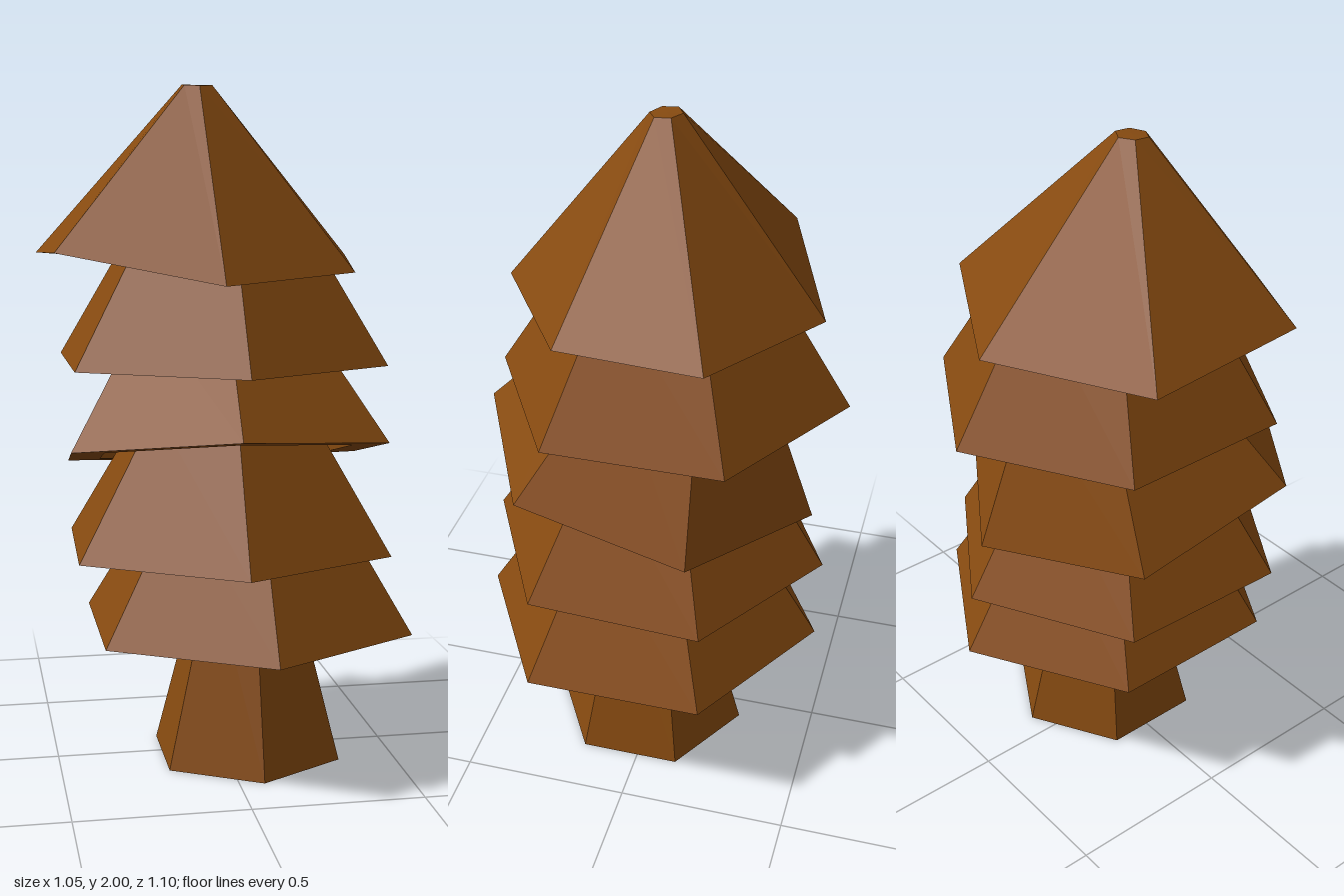
import * as THREE from 'three';

const SIDES = 6;
const bark = new THREE.MeshStandardMaterial({ color: 0x864a10, flatShading: true });

// Six-sided ring of points, first corner towards +z
const hexRing = (r, y, cx = 0, cz = 0) => Array.from({ length: SIDES }, (_, i) => {
  const a = (i / SIDES) * Math.PI * 2;
  return new THREE.Vector3(cx + r * Math.sin(a), y, cz + r * Math.cos(a));
});

// Closed solid skinned over rings, ordered from the top, down the outside, then up the inside
function skin(name, rings) {
  const pos = [];
  const tri = (a, b, c) => {
    if (a.distanceTo(b) < 1e-6 || b.distanceTo(c) < 1e-6 || a.distanceTo(c) < 1e-6) return;
    for (const p of [a, b, c]) pos.push(p.x, p.y, p.z);
  };
  for (let k = 0; k < rings.length - 1; k++) {
    for (let i = 0; i < SIDES; i++) {
      const j = (i + 1) % SIDES, up = rings[k], low = rings[k + 1];
      tri(up[i], low[i], low[j]);
      tri(up[i], low[j], up[j]);
    }
  }
  const geo = new THREE.BufferGeometry();
  geo.setAttribute('position', new THREE.Float32BufferAttribute(pos, 3));
  geo.computeVertexNormals();
  const mesh = new THREE.Mesh(geo, bark);
  mesh.name = name;
  return mesh;
}

// Flared tier with a flat rim and a recess underneath
const profile = [[0, 0.42], [0.255, 0.42], [0.52, 0], [0.41, 0], [0.41, 0.09], [0, 0.09]];
function tier(name, [x, y, z], tilt = 0, yaw = 0, roll = 0) {
  const mesh = skin(name, profile.map(([r, h]) => hexRing(r, h)));
  mesh.position.set(x, y, z);
  mesh.rotation.set(tilt, yaw, roll);
  return mesh;
}

// Crooked pointed cap: an uneven lower edge drawn up to a small hexagon
function crown() {
  const edge = [
    [-0.07, 1.45, 0.485], [0.35, 1.468, 0.22], [0.43, 1.5, -0.22],
    [-0.01, 1.46, -0.46], [-0.525, 1.51, -0.275], [-0.505, 1.53, 0.23],
  ].map((p) => new THREE.Vector3(...p));
  const centre = edge.reduce((s, p) => s.add(p), new THREE.Vector3()).divideScalar(SIDES);
  const rim = edge.map((p) => p.clone().lerp(centre, 0.21));
  const recess = rim.map((p) => p.clone().setY(p.y + 0.08));
  const roof = centre.clone().setY(centre.y + 0.08);
  const tip = hexRing(0.047, 2, -0.072, 0.014);
  tip.forEach((p) => { p.y -= 0.1 * Math.max(0, p.z); });
  return skin('crown', [hexRing(0, 1.998, -0.072, 0.014), tip, edge, rim, recess,
    edge.map(() => roof)]);
}

export function createModel() {
  const tree = new THREE.Group();
  tree.name = 'tieredTrunk';

  // Tapered foot
  const foot = skin('foot', [[0, 0.6], [0.135, 0.6], [0.297, 0], [0, 0]].map(([r, h]) => hexRing(r, h)));
  foot.position.set(0.073, 0, 0.024);

  tree.add(
    foot,
    tier('lowestTier', [0.07, 0.41, 0.02]),
    tier('lowerTier', [0.01, 0.65, 0.015], -0.013, -0.04, -0.005),
    tier('middleTier', [-0.005, 0.93, 0.045], -0.215, -0.06),
    tier('upperTier', [-0.003, 1.2, -0.026]),
    crown(),
  );
  return tree;
}
